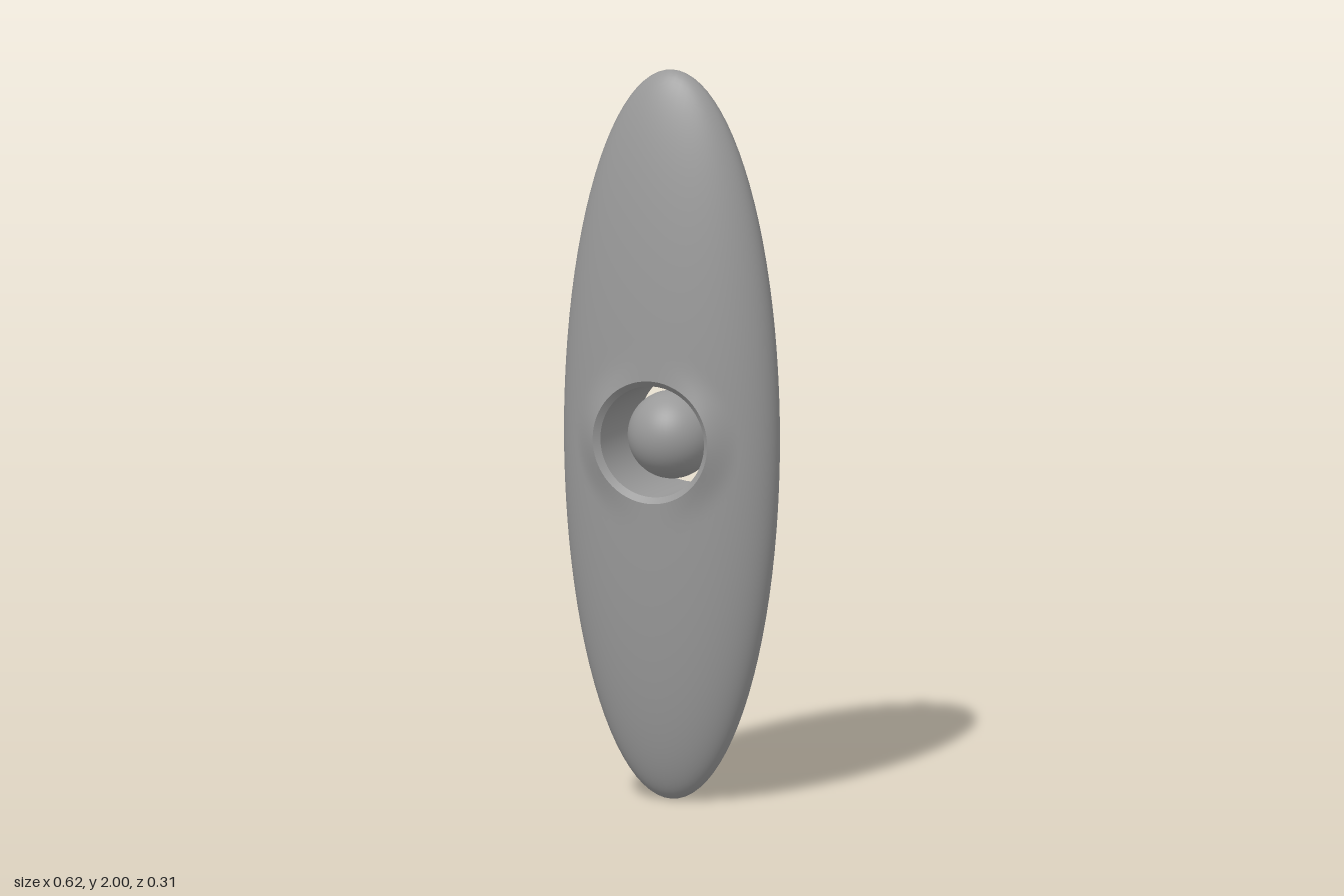
import * as THREE from 'three';

const HALF_W = 0.31, HALF_H = 1, HALF_D = 0.155;
const RIM_R = 0.168, RIM_Z = 0.154, BORE_R = 0.152, BORE_Z = 0.138;

// Flattened ellipsoid shell, swept from the front rim round the edge to the back rim
function shellGeometry(rows = 64, cols = 96) {
  const positions = [], indices = [];
  for (let i = 0; i <= rows; i++) {
    const t = (i / rows) * Math.PI;
    const s = Math.sin(t);
    const side = i * 2 <= rows ? 1 : -1;
    for (let j = 0; j < cols; j++) {
      const a = (j / cols) * Math.PI * 2;
      const x = Math.cos(a) * THREE.MathUtils.lerp(RIM_R, HALF_W, s);
      const y = Math.sin(a) * THREE.MathUtils.lerp(RIM_R, HALF_H, s);
      let z = HALF_D * Math.sqrt(Math.max(0, 1 - (x / HALF_W) ** 2 - (y / HALF_H) ** 2));
      // Raise the surface to a flat lip around the hole
      const flare = Math.max(0, 1 - (Math.hypot(x, y) - RIM_R) / 0.07) ** 2;
      z = THREE.MathUtils.lerp(z, RIM_Z, flare);
      positions.push(x, y, z * side);
    }
  }
  for (let i = 0; i < rows; i++) {
    for (let j = 0; j < cols; j++) {
      const k = (j + 1) % cols;
      const a = i * cols + j, b = a + cols, c = i * cols + k, d = c + cols;
      indices.push(a, b, c, b, d, c);
    }
  }
  const geometry = new THREE.BufferGeometry();
  geometry.setAttribute('position', new THREE.Float32BufferAttribute(positions, 3));
  geometry.setIndex(indices);
  geometry.computeVertexNormals();
  return geometry;
}

// Inward-facing band around the z axis, from front to back
function bandGeometry(r1, z1, r2, z2) {
  const profile = [new THREE.Vector2(r1, z1), new THREE.Vector2(r2, z2)];
  return new THREE.LatheGeometry(profile, 96).rotateX(Math.PI / 2);
}

export function createModel() {
  const grey = new THREE.MeshStandardMaterial({ color: 0x999999 });
  grey.name = 'grey';
  const model = new THREE.Group();
  model.name = 'ovalWithFloatingBall';

  const add = (name, geometry) => {
    const mesh = new THREE.Mesh(geometry, grey);
    mesh.name = name;
    mesh.position.y = 1;
    model.add(mesh);
  };

  add('body', shellGeometry());

  // Through hole with a bevelled lip on each face
  add('frontBevel', bandGeometry(RIM_R, RIM_Z, BORE_R, BORE_Z));
  add('bore', bandGeometry(BORE_R, BORE_Z, BORE_R, -BORE_Z));
  add('backBevel', bandGeometry(BORE_R, -BORE_Z, RIM_R, -RIM_Z));

  // Ball floating in the hole
  add('ball', new THREE.SphereGeometry(0.12, 48, 32));

  return model;
}
